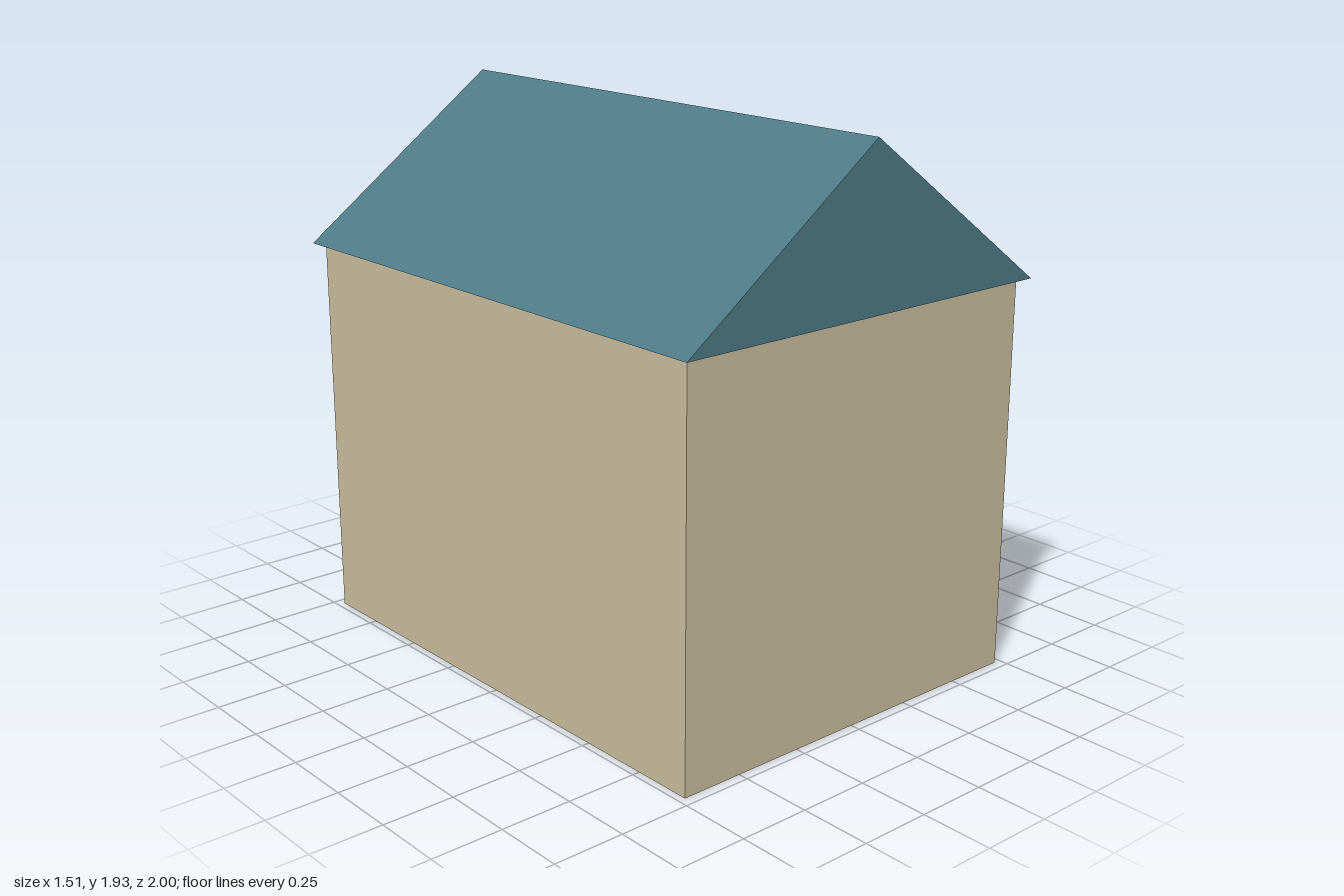
import * as THREE from 'three';

const EAVES = 1.385, RIDGE = 1.935;

export function createModel() {
  const house = new THREE.Group();
  house.name = 'house';

  // Plain block of walls
  const walls = new THREE.Mesh(
    new THREE.BoxGeometry(1.45, EAVES, 1.93),
    new THREE.MeshStandardMaterial({ color: 0xc8bb9c, flatShading: true })
  );
  walls.name = 'walls';
  walls.position.y = EAVES / 2;
  house.add(walls);

  // Solid gable roof with a small overhang on every side
  const gable = new THREE.Shape([
    new THREE.Vector2(-0.757, EAVES),
    new THREE.Vector2(0.757, EAVES),
    new THREE.Vector2(0, RIDGE),
  ]);
  const roof = new THREE.Mesh(
    new THREE.ExtrudeGeometry(gable, { depth: 2, bevelEnabled: false }),
    new THREE.MeshStandardMaterial({ color: 0x4f7986, flatShading: true })
  );
  roof.name = 'roof';
  roof.position.z = -1;
  house.add(roof);

  return house;
}
